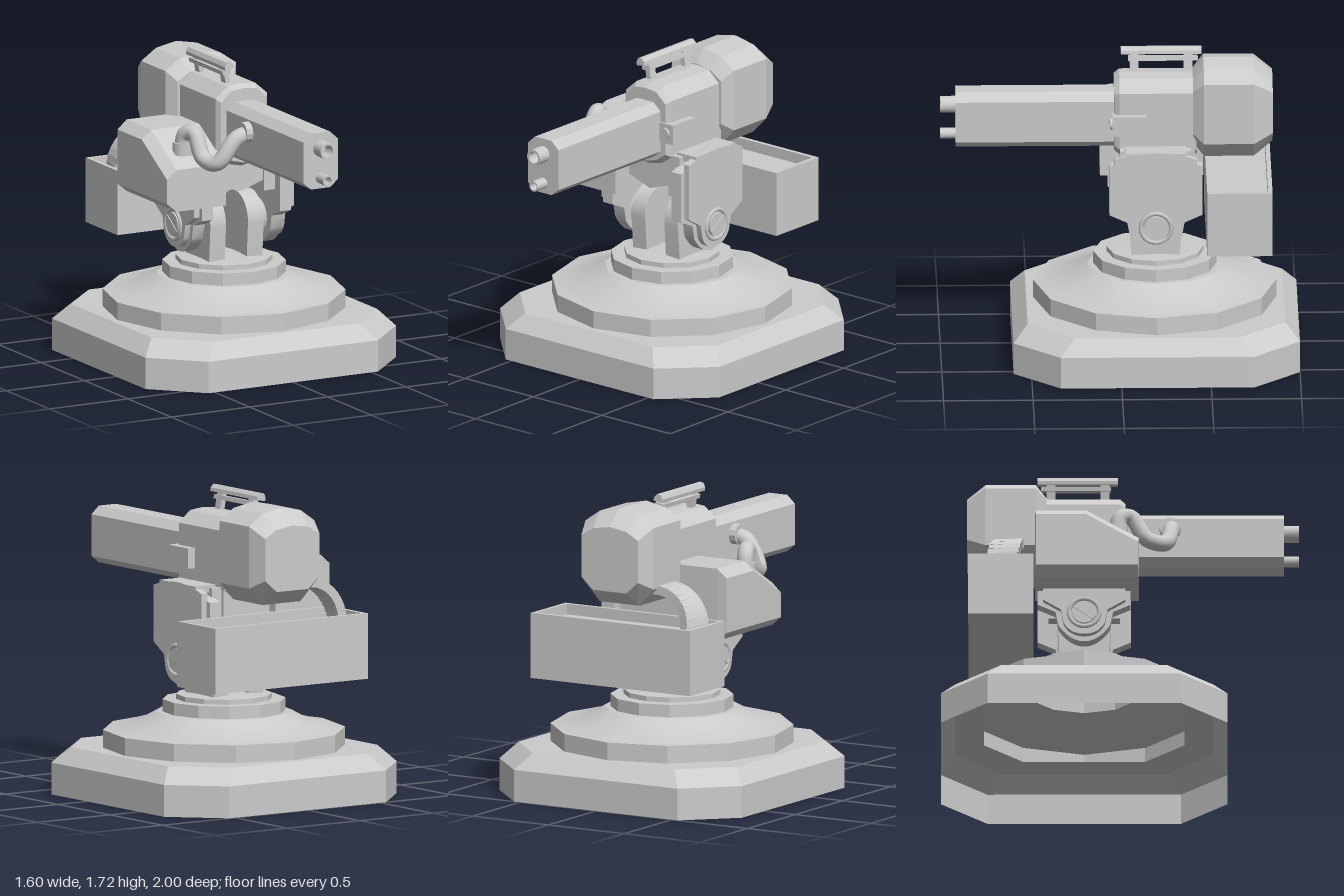
import * as THREE from 'three';
import { toCreasedNormals } from 'three/addons/utils/BufferGeometryUtils.js';
import { ConvexGeometry } from 'three/addons/geometries/ConvexGeometry.js';

const mat = new THREE.MeshStandardMaterial({ color: 0xcccccc });
const shellMat = new THREE.MeshStandardMaterial({ color: 0xcccccc, side: THREE.DoubleSide });

export function createModel() {
  const model = new THREE.Group();
  const add = (name, geo, x = 0, y = 0, z = 0, parent = model, material = mat) => {
    const m = new THREE.Mesh(geo, material);
    m.name = name;
    m.position.set(x, y, z);
    parent.add(m);
    return m;
  };
  const box = (w, h, d) => new THREE.BoxGeometry(w, h, d);
  const cylX = (r1, r2, len, n = 20) =>
    toCreasedNormals(new THREE.CylinderGeometry(r1, r2, len, n).rotateZ(-Math.PI / 2), 0.5);
  // Mirrors half an outline [x, y] across x = 0
  const mirror = (half) => [...half, ...half.map(([x, y]) => [-x, y])];
  // Convex solid through scaled copies of an outline: sections are [z, scaleX, scaleY]
  const hull = (outline, cy, sections) => new ConvexGeometry(sections.flatMap(([z, sx, sy]) =>
    outline.map(([x, y]) => new THREE.Vector3(x * sx, cy + (y - cy) * sy, z))));
  // Plate cut from a (z, y) shape, spanning x0 to x1
  const plate = (shape, x0, x1) => {
    const g = new THREE.ExtrudeGeometry(shape, { depth: x1 - x0, bevelEnabled: false, curveSegments: 10 });
    g.rotateY(-Math.PI / 2).translate(x1, 0, 0);
    return toCreasedNormals(g, 0.5);
  };

  // Eight-sided hollow foot: rings are [half width, corner, y]
  const rings = [[0.8, 0.54, 0], [0.8, 0.54, 0.18], [0.72, 0.465, 0.27], [0.56, 0.34, 0.27]];
  const pos = [], idx = [];
  rings.forEach(([h, c, y], i) => {
    [[c, h], [h, c], [h, -c], [c, -h], [-c, -h], [-h, -c], [-h, c], [-c, h]]
      .forEach(([x, z], j) => {
        pos.push(x, y, z);
        if (i === 0) return;
        const a = (i - 1) * 8 + j, b = (i - 1) * 8 + (j + 1) % 8;
        idx.push(a, b, b + 8, a, b + 8, a + 8);
      });
  });
  const foot = new THREE.BufferGeometry();
  foot.setAttribute('position', new THREE.Float32BufferAttribute(pos, 3));
  foot.setIndex(idx);
  add('foot', toCreasedNormals(foot, 0.2), 0, 0, -0.2, model, shellMat);

  // Twelve-sided domed turntable
  const dome = [[0.68, 0.27], [0.68, 0.37], [0.62, 0.375], [0.47, 0.42], [0.38, 0.47], [0.345, 0.47],
    [0.345, 0.54], [0.27, 0.54], [0.27, 0.568], [0, 0.59]].map(([x, y]) => new THREE.Vector2(x, y));
  add('turntable', toCreasedNormals(new THREE.LatheGeometry(dome, 12), 0.5), 0, 0, -0.2, model, shellMat);

  // Yoke arms, trunnions and lower brackets on both sides
  const arm = new THREE.Shape();
  arm.moveTo(-0.335, 0.56);
  arm.lineTo(-0.065, 0.56);
  arm.lineTo(-0.05, 0.77);
  arm.absarc(-0.2, 0.78, 0.15, 0, Math.PI);
  arm.closePath();
  // Side plate profile: rounded bottom, straight shoulders, arched or flat top
  const bracket = (inset, top, arch) => {
    const s = new THREE.Shape();
    const w = 0.26 - inset;
    s.moveTo(-0.2 + w, top);
    s.quadraticCurveTo(-0.2, top + arch * 2, -0.2 - w, top);
    s.lineTo(-0.2 - w, 0.845 + inset / 2);
    s.lineTo(-0.36 + inset, 0.8);
    s.lineTo(-0.345 + inset, 0.72);
    s.quadraticCurveTo(-0.28, 0.62 + inset, -0.2, 0.62 + inset);
    s.quadraticCurveTo(-0.12, 0.62 + inset, -0.055 - inset, 0.72);
    s.lineTo(-0.04 - inset, 0.8);
    s.lineTo(-0.2 + w, 0.845 + inset / 2);
    s.closePath();
    return s;
  };
  for (const s of [1, -1]) {
    const side = s > 0 ? 'left' : 'right';
    const span = (a, b) => (s > 0 ? [a, b] : [-b, -a]);
    add(side + 'YokeArm', plate(arm, ...span(0.07, 0.17)));
    const flare = cylX(0.11, 0.08, 0.055);
    add(side + 'Trunnion', s > 0 ? flare : flare.rotateY(Math.PI), s * 0.195, 0.77, -0.2);
    add(side + 'InnerBracket', plate(bracket(0, s > 0 ? 1.13 : 0.95, s > 0 ? 0.045 : 0), ...span(0.215, 0.285)));
    add(side + 'OuterBracket', plate(bracket(0.03, s > 0 ? 1.18 : 0.95, s > 0 ? 0.04 : 0), ...span(0.28, 0.32)));
    // Slotted pivot bolt
    const ring = new THREE.TorusGeometry(0.085, 0.012, 6, 24).rotateY(Math.PI / 2);
    add(side + 'BoltRing', ring, s * 0.322, 0.78, -0.2);
    add(side + 'BoltHead', cylX(0.068, 0.068, 0.02), s * 0.323, 0.78, -0.2);
    const bar = add(side + 'BoltSlot', box(0.012, 0.022, 0.13), s * 0.332, 0.78, -0.2);
    bar.rotation.x = 0.6;
  }
  add('bracketTopPlate', box(0.14, 0.04, 0.34), 0.25, 1.195, -0.2);
  add('bracketSpacer', box(0.08, 0.24, 0.4), 0.185, 1.08, -0.2);

  // Gun body with its V-shaped cradle
  const bodyHalf = [[0, 1.595], [0.09, 1.585], [0.165, 1.52], [0.165, 1.19], [0.09, 1.14], [0, 1.12]];
  add('gunBody', hull(mirror(bodyHalf), 1.36, [[-0.43, 1, 1], [0, 1, 1], [0.03, 0.88, 0.9]]));
  add('cradle', hull(mirror([[0.16, 1.25], [0.16, 1.025], [0, 0.97]]), 1.1, [[-0.42, 1, 1], [-0.01, 1, 1]]));

  // Barrel shroud with raised cheeks and two hollow muzzles
  const shroud = [[0.06, 1.5], [0.11, 1.455], [0.11, 1.22], [0.06, 1.18]];
  add('barrelShroud', hull(mirror(shroud), 1.34, [[0, 1, 1], [0.915, 1, 1]]));
  for (const [y, r] of [[1.41, 0.047], [1.24, 0.031]]) {
    const p = [[r, -0.1], [r, 0.09], [r * 0.72, 0.09], [r * 0.65, 0], [0, 0]].map(([a, b]) => new THREE.Vector2(a, b));
    const g = new THREE.LatheGeometry(p, 16).rotateX(Math.PI / 2);
    add('muzzle', toCreasedNormals(g, 0.5), 0, y, 0.91, model, shellMat);
  }

  // Bevelled rear housing
  const rear = [[0, 1.68], [0.13, 1.655], [0.225, 1.59], [0.225, 1.24], [0.13, 1.14]];
  add('rearHousing', hull(mirror(rear), 1.4, [[-0.41, 0.8, 0.72], [-0.47, 1, 1], [-0.75, 1, 1], [-0.855, 0.83, 0.68]]));

  // Tilted top rail
  const rail = new THREE.Group();
  rail.name = 'topRail';
  rail.position.set(-0.05, 1.575, -0.235);
  rail.rotation.z = 0.18;
  model.add(rail);
  for (const z of [-0.15, 0.15]) add('railPost', box(0.03, 0.12, 0.05), 0, 0.05, z, rail);
  add('railLowerBar', box(0.055, 0.025, 0.39), 0, 0.08, -0.01, rail);
  add('railUpperBar', hull(mirror([[0.028, 0.105], [0.028, 0.125], [0.012, 0.147]]), 0.12,
    [[-0.225, 1, 1], [0.225, 1, 1]]), 0, 0, 0, rail);

  // Sight on the left of the body
  add('sightBox', box(0.06, 0.115, 0.19), 0.18, 1.338, -0.055);
  add('sightMount', box(0.11, 0.115, 0.06), 0.15, 1.338, 0.01);
  add('sightLens', new THREE.CylinderGeometry(0.032, 0.032, 0.02, 16).rotateX(Math.PI / 2), 0.155, 1.34, 0.045);

  // Armoured box on the right, sloped at the front
  const sidePts = [];
  for (const [x, k] of [[-0.155, 0], [-0.47, 0], [-0.53, 0.05]]) {
    for (const [y, z] of [[0.93 + k, 0.105 - k * 0.1], [1.17 - k, 0.105 - k * 0.1], [1.34 - k, -0.19],
      [1.34 - k, -0.475 + k * 0.1], [0.93 + k, -0.475 + k * 0.1]]) {
      sidePts.push(new THREE.Vector3(x, y, z));
    }
  }
  add('sideBox', new ConvexGeometry(sidePts));

  // Hose from barrel to side box
  const hosePath = new THREE.CatmullRomCurve3([[-0.1, 1.38, 0.28], [-0.19, 1.355, 0.285], [-0.29, 1.22, 0.25],
    [-0.325, 1.23, 0.15], [-0.335, 1.36, 0.06], [-0.36, 1.34, 0], [-0.365, 1.23, -0.015]]
    .map((p) => new THREE.Vector3(...p)));
  add('hose', new THREE.TubeGeometry(hosePath, 40, 0.046, 12), 0, 0, 0, model, shellMat);
  add('hoseBarrelCollar', cylX(0.06, 0.06, 0.04, 12), -0.13, 1.385, 0.28);
  add('hoseBoxCollar', new THREE.CylinderGeometry(0.06, 0.06, 0.07, 10), -0.365, 1.26, -0.015);

  // Ammunition bin with a recessed top
  add('binBody', box(1.05, 0.31, 0.365), 0, 0.835, -0.665);
  for (const s of [1, -1]) {
    add('binEndRim', box(0.025, 0.06, 0.365), s * 0.5125, 1.02, -0.665);
    add('binSideRim', box(1.0, 0.06, 0.025), 0, 1.02, -0.665 + s * 0.17);
  }

  // Curved feed belt from the housing into the bin
  const belt = new THREE.Group();
  belt.name = 'feedBelt';
  model.add(belt);
  const links = 10;
  for (let i = 0; i < links; i++) {
    const t = i / (links - 1);
    const a = t * 1.5;
    const link = add('beltLink', box(0.046, 0.05, 0.175),
      -0.22 - 0.22 * Math.sin(a), 1.01 + 0.22 * Math.cos(a), -0.625 - 0.04 * t * t, belt);
    link.rotation.set(0, -0.25 * t * t, a, 'YZX');
  }
  return model;
}
